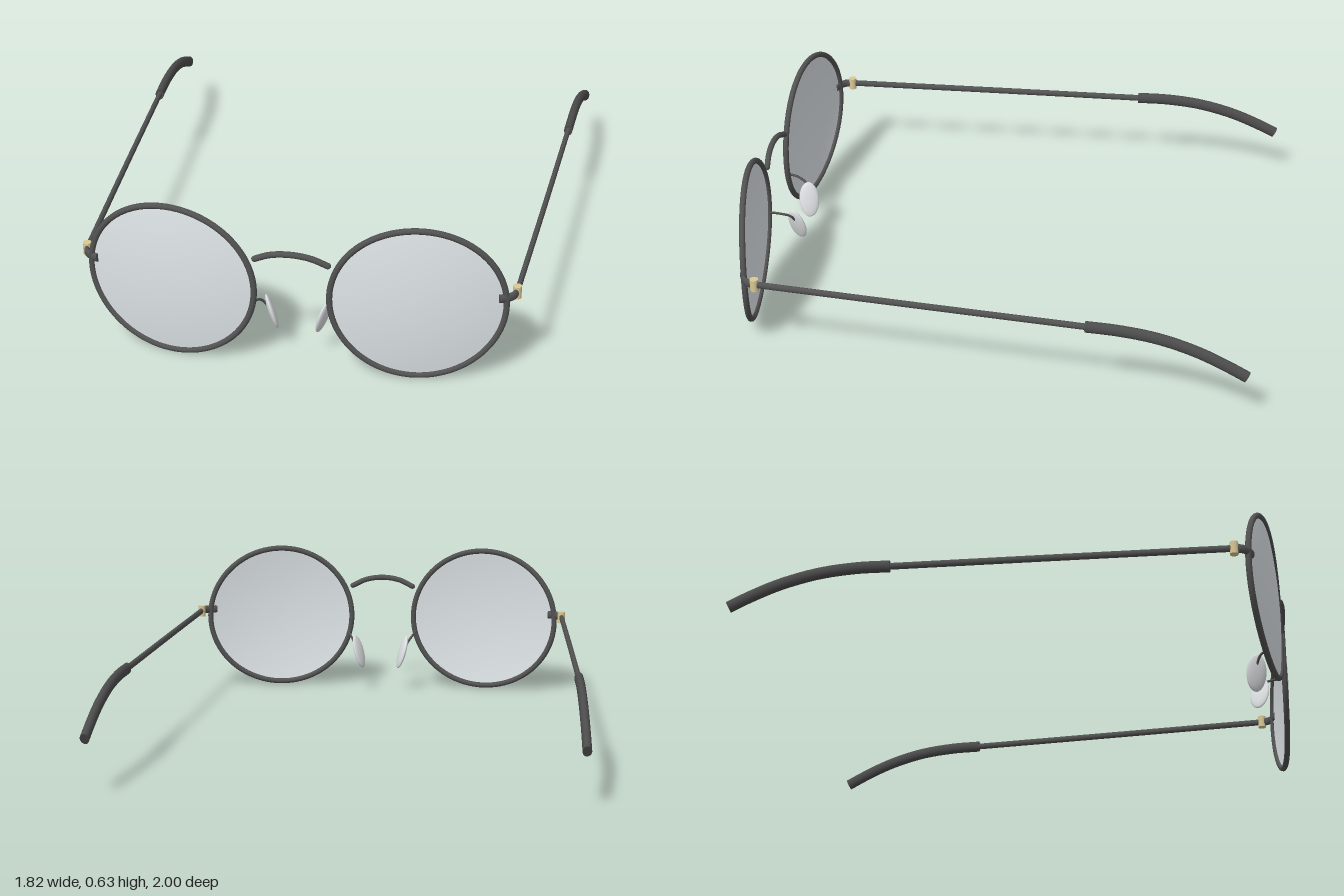
import * as THREE from 'three';

const material = (name, color, extra = {}) => new THREE.MeshStandardMaterial({ name, color, ...extra });
const v = (x, y, z) => new THREE.Vector3(x, y, z);
const LENS_X = 0.451, LENS_Y = 0.314, RX = 0.313, RY = 0.302;

// Depth of the wrapped front, falling back toward the temples
const frontZ = (x) => 0.98 - 0.072 * (x - 0.13) - 0.166 * (x - 0.13) * (x - 0.45);

// Sweep an oval section along a path, keeping its width horizontal
function sweep(points, width, height, segments = 24) {
  const curve = new THREE.CatmullRomCurve3(points);
  const geo = new THREE.CylinderGeometry(1, 1, 1, 20, segments);
  const pos = geo.attributes.position;
  for (let i = 0; i < pos.count; i++) {
    const t = THREE.MathUtils.clamp(pos.getY(i) + 0.5, 0, 1);
    const tangent = curve.getTangent(t);
    const side = v(0, 1, 0).cross(tangent).negate().normalize();
    const up = side.clone().cross(tangent);
    const p = curve.getPoint(t)
      .addScaledVector(side, pos.getX(i) * width / 2)
      .addScaledVector(up, pos.getZ(i) * height / 2);
    pos.setXYZ(i, p.x, p.y, p.z);
  }
  geo.computeVertexNormals();
  return geo;
}

export function createModel() {
  const model = new THREE.Group();
  model.name = 'glasses';
  const metal = material('dark metal', 0x525252);
  const rubber = material('temple tip', 0x4c4c4c);
  const glass = material('lens glass', 0xe0e6e9, { side: THREE.DoubleSide });
  const brass = material('brass hinge', 0xdac894);
  const padMat = material('nose pad', 0xdde0e2);

  const add = (parent, name, geo, mat) => {
    const mesh = new THREE.Mesh(geo, mat);
    mesh.name = name;
    parent.add(mesh);
    return mesh;
  };

  for (const s of [1, -1]) {
    const half = new THREE.Group();
    half.name = s > 0 ? 'leftHalf' : 'rightHalf';
    model.add(half);
    const m = (x, y, z) => v(s * x, y, z);

    // Round rim following the wrap
    const loop = [];
    for (let i = 0; i < 48; i++) {
      const a = (i / 48) * Math.PI * 2;
      const x = LENS_X + RX * Math.cos(a);
      loop.push(m(x, LENS_Y + RY * Math.sin(a), frontZ(x)));
    }
    add(half, 'rim', new THREE.TubeGeometry(new THREE.CatmullRomCurve3(loop, true), 96, 0.0115, 12, true), metal);

    // Domed lens
    const lens = new THREE.RingGeometry(0.001, 1, 64, 10);
    const pos = lens.attributes.position;
    for (let i = 0; i < pos.count; i++) {
      const u = pos.getX(i), w = pos.getY(i);
      const x = LENS_X + s * u * RX;
      pos.setXYZ(i, s * x, LENS_Y + w * RY, frontZ(x) + 0.022 * (1 - u * u - w * w));
    }
    lens.computeVertexNormals();
    add(half, 'lens', lens, glass);

    // End piece wrapping from the rim to the hinge
    add(half, 'endPiece', sweep([m(0.738, 0.345, 0.914), m(0.768, 0.345, 0.9), m(0.788, 0.345, 0.88), m(0.795, 0.345, 0.85)], 0.02, 0.034), metal);
    const hinge = add(half, 'hinge', new THREE.CylinderGeometry(0.016, 0.016, 0.048, 20), brass);
    hinge.position.copy(m(0.795, 0.345, 0.853));

    // Temple arm and its drooping sleeve
    add(half, 'temple', sweep([m(0.795, 0.345, 0.86), m(0.83, 0.345, 0.23), m(0.864, 0.345, -0.42)], 0.02, 0.026, 8), metal);
    add(half, 'templeTip', sweep([
      m(0.863, 0.345, -0.395), m(0.869, 0.345, -0.52), m(0.875, 0.331, -0.66),
      m(0.882, 0.295, -0.8), m(0.888, 0.25, -0.91), m(0.892, 0.212, -0.988),
    ], 0.034, 0.046), rubber);

    // Nose pad on a bent wire
    const wire = new THREE.CatmullRomCurve3([
      m(0.151, 0.25, 0.974), m(0.145, 0.244, 0.935), m(0.13, 0.228, 0.9), m(0.106, 0.19, 0.881),
    ]);
    add(half, 'padArm', new THREE.TubeGeometry(wire, 20, 0.005, 8), metal);
    const pad = add(half, 'nosePad', new THREE.SphereGeometry(1, 28, 18), padMat);
    pad.scale.set(0.013, 0.074, 0.04);
    pad.position.copy(m(0.096, 0.17, 0.88));
    pad.rotation.set(0, -0.35 * s, -0.28 * s);
  }

  // Arched bridge
  const arch = new THREE.CatmullRomCurve3([
    v(-0.133, 0.45, 0.978), v(-0.073, 0.477, 0.985), v(0, 0.487, 0.988), v(0.073, 0.477, 0.985), v(0.133, 0.45, 0.978),
  ]);
  add(model, 'bridge', new THREE.TubeGeometry(arch, 32, 0.0115, 12), metal);
  for (const s of [1, -1]) {
    const cap = add(model, 'bridgeEnd', new THREE.SphereGeometry(0.0115, 12, 8), metal);
    cap.position.set(s * 0.133, 0.45, 0.978);
  }
  return model;
}
